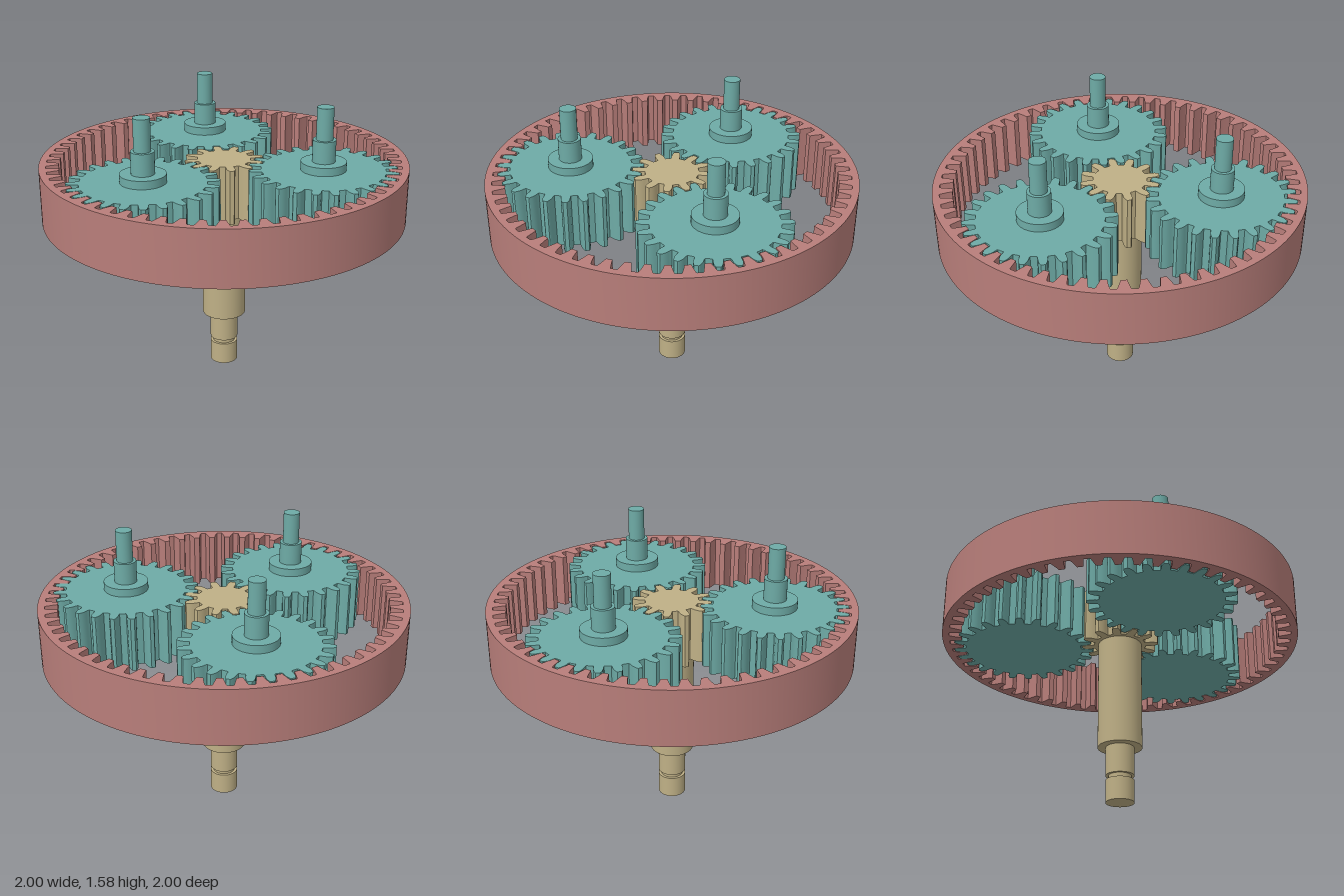
import * as THREE from 'three';
import { toCreasedNormals } from 'three/addons/utils/BufferGeometryUtils.js';

const MODULE = 0.0308; // tooth size shared by all gears
const BOTTOM = 0.93, TOP = 1.235;

const material = (name, color) => {
  const m = new THREE.MeshStandardMaterial({ color });
  m.name = name;
  return m;
};

// Outline of a spur gear: each tooth is [radius, half width as a fraction of the pitch]
function gearPoints(teeth, phase, profile) {
  const step = (Math.PI * 2) / teeth;
  const flank = [...profile.map(([r, w]) => [r, -w]), ...profile.slice().reverse()];
  const points = [];
  for (let i = 0; i < teeth; i++) {
    for (const [r, w] of flank) {
      const a = (i + phase + w) * step;
      points.push(new THREE.Vector2(r * Math.cos(a), r * Math.sin(a)));
    }
  }
  return points;
}

// Tooth flank from root to tip around the pitch radius
function toothProfile(teeth, rootDepth, tipHeight) {
  const p = (teeth * MODULE) / 2;
  return [
    [p - rootDepth, 0.3],
    [p - rootDepth * 0.75, 0.27],
    [p - rootDepth * 0.4, 0.26],
    [p, 0.235],
    [p + tipHeight * 0.5, 0.185],
    [p + tipHeight * 0.9, 0.13],
    [p + tipHeight, 0.1],
  ];
}

// Upright slab with a flat outline
function slab(name, shape, mat) {
  const geo = new THREE.ExtrudeGeometry(shape, {
    depth: TOP - BOTTOM, bevelEnabled: false, curveSegments: 96,
  });
  geo.rotateX(-Math.PI / 2);
  const mesh = new THREE.Mesh(toCreasedNormals(geo, 0.3), mat);
  mesh.name = name;
  mesh.position.y = BOTTOM;
  return mesh;
}

// Upright cylinder between two heights
function rod(name, radius, y0, y1, mat) {
  const mesh = new THREE.Mesh(new THREE.CylinderGeometry(radius, radius, y1 - y0, 48), mat);
  mesh.name = name;
  mesh.position.y = (y0 + y1) / 2;
  return mesh;
}

export function createModel() {
  const model = new THREE.Group();
  model.name = 'planetaryGearSet';
  const red = material('dusty red', 0xb87e7a);
  const teal = material('teal', 0x6eaba6);
  const tan = material('tan', 0xbfb086);

  // Outer ring with inward teeth
  const ring = new THREE.Shape().absarc(0, 0, 1, 0, Math.PI * 2, false);
  ring.holes.push(new THREE.Path(gearPoints(60, 0.5, [
    [0.893, 0.33], [0.91, 0.295], [0.925, 0.26], [0.943, 0.215], [0.957, 0.18], [0.962, 0.15],
  ]).reverse()));
  model.add(slab('ringGear', ring, red));

  // Central gear and its stepped drive shaft
  const sun = new THREE.Group();
  sun.name = 'sunGear';
  sun.add(
    slab('sunTeeth', new THREE.Shape(gearPoints(12, 0, toothProfile(12, 0.039, 0.031))), tan),
    rod('sunShaft', 0.122, 0.31, BOTTOM, tan),
    rod('sunShaftNeck', 0.078, 0.15, 0.31, tan),
    rod('sunShaftGroove', 0.063, 0.125, 0.15, tan),
    rod('sunShaftEnd', 0.078, 0, 0.125, tan),
  );
  model.add(sun);

  // Three planet gears, each with a collar and stepped pin
  const planetShape = new THREE.Shape(gearPoints(24, 0.5, toothProfile(24, 0.039, 0.028)));
  for (let i = 0; i < 3; i++) {
    const a = (i * Math.PI * 2) / 3;
    const planet = new THREE.Group();
    planet.name = `planetGear${i + 1}`;
    planet.add(
      slab('planetTeeth', planetShape, teal),
      rod('planetCollar', 0.122, TOP, 1.28, teal),
      rod('planetPinBase', 0.062, 1.28, 1.4, teal),
      rod('planetPin', 0.045, 1.4, 1.575, teal),
    );
    planet.position.set(0.555 * Math.cos(a), 0, 0.555 * Math.sin(a));
    model.add(planet);
  }
  return model;
}
